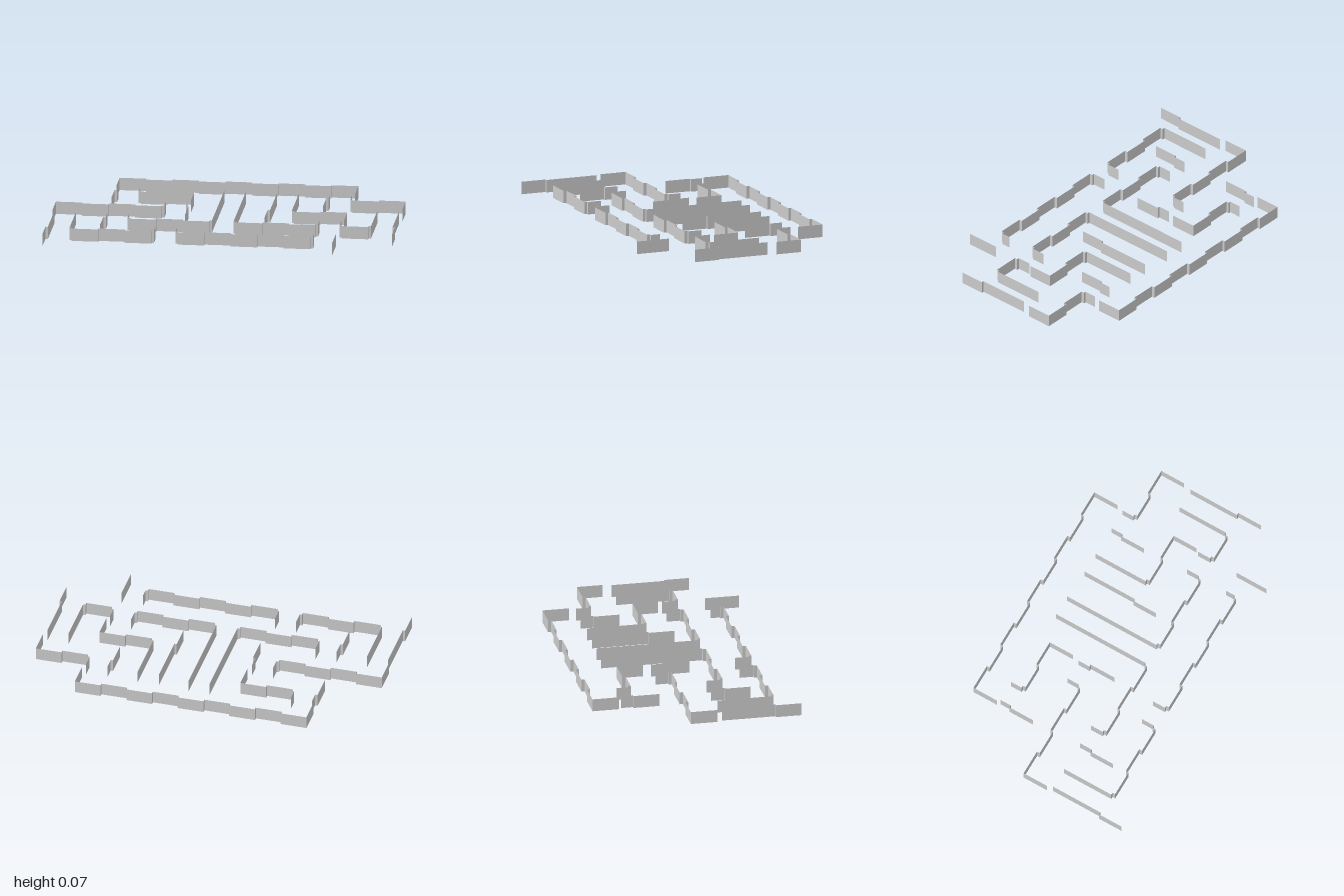
import * as THREE from 'three';

const HEIGHT = 0.074;
const CELL = 2 / 13;      // length of one wall panel
const DIP = 0.018;        // offset of every second panel in a row
const JOG = 0.014;        // sideways offset where a wall turns a corner
const edge = (i) => -1 + i * CELL;

// Upright ribbon following a plan path of [x, z] points
function ribbon(points) {
  const positions = [];
  for (let i = 0; i < points.length - 1; i++) {
    const [ax, az] = points[i];
    const [bx, bz] = points[i + 1];
    positions.push(
      ax, 0, az, bx, 0, bz, bx, HEIGHT, bz,
      ax, 0, az, bx, HEIGHT, bz, ax, HEIGHT, az);
  }
  const geometry = new THREE.BufferGeometry();
  geometry.setAttribute('position', new THREE.Float32BufferAttribute(positions, 3));
  geometry.computeVertexNormals();
  return geometry;
}

// Stepped row of panels with a leg at each end
function rowPath(z, first, last, leftShift, leftZ, rightShift, rightZ) {
  const leftX = edge(first) + leftShift * JOG;
  const rightX = edge(last) + rightShift * JOG;
  const points = [[leftX, leftZ], [leftX, z]];
  if (leftShift) points.push([edge(first), z]);
  for (let c = first; c < last; c++) {
    if (c % 2) {
      points.push([edge(c), z + DIP], [edge(c + 1), z + DIP], [edge(c + 1), z]);
    } else {
      points.push([edge(c + 1), z]);
    }
  }
  if (rightShift) points.push([rightX, z]);
  points.push([rightX, rightZ]);
  return points;
}

// Side wall that jogs once along its length
function sidePath(column, shift, zBack, zJog, zFront) {
  const x = edge(column);
  const inner = x + shift * JOG;
  return [[inner, zBack], [inner, zJog], [x, zJog], [x, zFront]];
}

export function createModel() {
  const group = new THREE.Group();
  group.name = 'mazeWalls';
  const material = new THREE.MeshStandardMaterial({
    color: 0xcccccc, side: THREE.DoubleSide, flatShading: true });
  const add = (name, points) => {
    const mesh = new THREE.Mesh(ribbon(points), material);
    mesh.name = name;
    group.add(mesh);
  };

  // Rows: z, first and last edge, then shift and end z of left and right leg
  const rows = {
    backWall: [-0.585, 2, 11, 0, -0.43, 0, -0.43],
    backRightRow: [-0.345, 3, 5, -1, -0.415, 0, -0.19],
    backLeftRow: [-0.317, 11, 13, -1, -0.39, 0, -0.165],
    outerRightRow: [-0.072, 0, 4, 0, 0.085, 1, -0.147],
    middleLeftRow: [-0.056, 9, 11, -1, -0.39, 0, 0.095],
    innerRightRow: [0.195, 3, 6, -1, 0.115, 1, -0.4],
    innerLeftRow: [0.195, 7, 10, -1, -0.4, 1, 0.115],
    outerLeftRow: [0.195, 11, 12, -1, 0.115, 1, -0.115],
    frontRightRow: [0.43, 1, 4, -1, 0.115, 1, 0.35],
    frontWall: [0.43, 5, 10, -1, 0.35, 1, 0.375],
  };
  for (const [name, row] of Object.entries(rows)) add(name, rowPath(...row));

  // Side walls: edge, shift, back z, jog z, front z
  const sides = {
    backRightSide: [2, 1, -0.415, -0.345, -0.19],
    middleRightSide: [5, -1, -0.147, -0.072, 0.085],
    innerRightSide: [2, 1, 0.115, 0.195, 0.345],
    frontRightSide: [0, 1, 0.115, 0.43, 0.58],
    corridorSide: [8, 1, -0.39, -0.056, 0.095],
    backLeftSide: [10, 1, -0.39, -0.317, -0.165],
    outerLeftSide: [13, -1, -0.115, 0.195, 0.345],
  };
  for (const [name, side] of Object.entries(sides)) add(name, sidePath(...side));

  // Lone straight panel at the entrance
  const x = edge(11) - JOG;
  add('entrancePanel', [[x, 0.37], [x, 0.57]]);
  return group;
}
